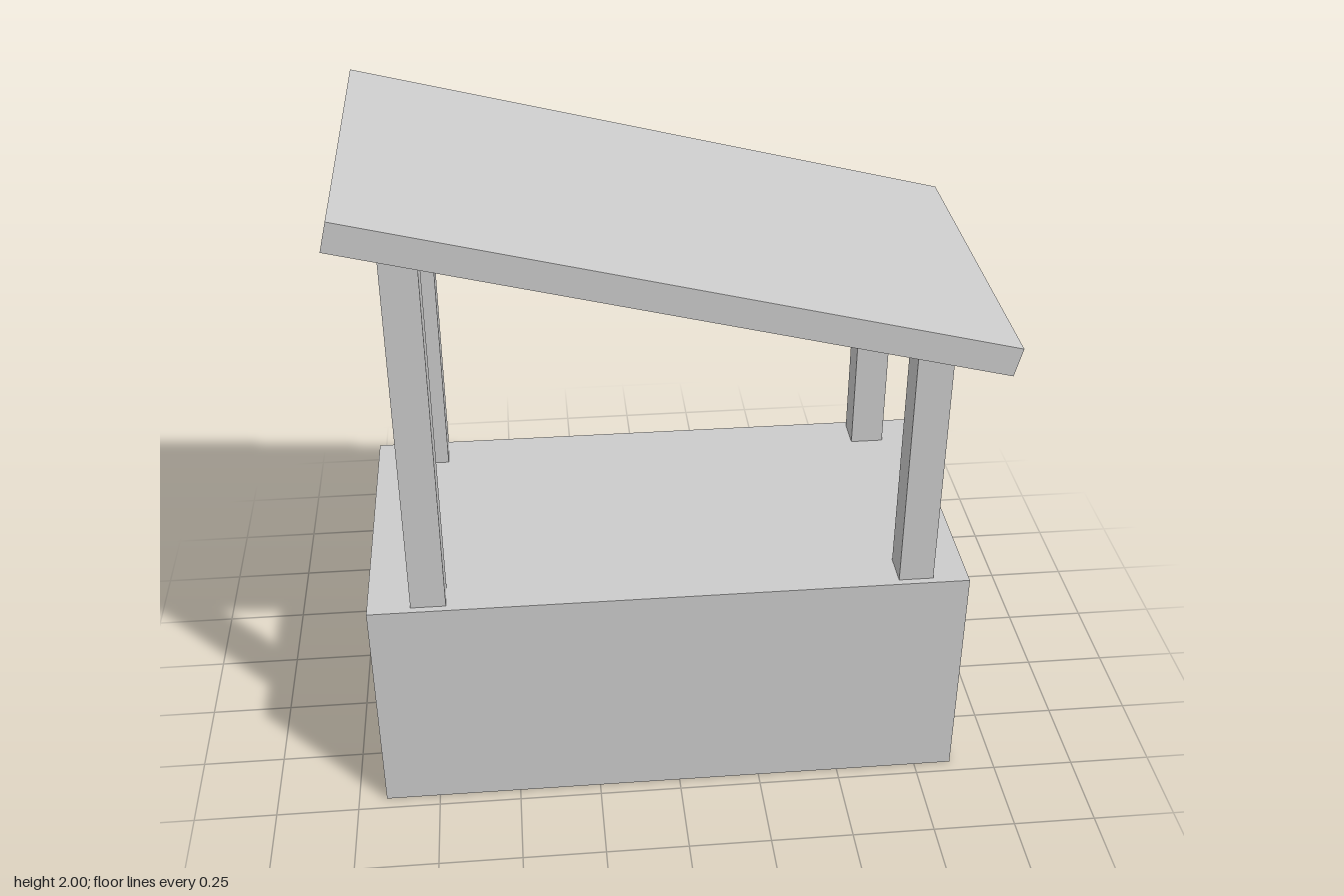
import * as THREE from 'three';

const grey = new THREE.MeshStandardMaterial({ color: 0xcccccc });
const greyBothSides = new THREE.MeshStandardMaterial({ color: 0xcccccc, side: THREE.DoubleSide });

export function createModel() {
  const group = new THREE.Group();

  const addPart = (name, geometry, x, y, z, material = grey) => {
    const mesh = new THREE.Mesh(geometry, material);
    mesh.name = name;
    mesh.position.set(x, y, z);
    group.add(mesh);
    return mesh;
  };

  // Counter: thin-walled box, open underneath (the fourth face, -y, is dropped)
  const counterHeight = 0.72;
  const counter = new THREE.BoxGeometry(1.78, counterHeight, 0.92);
  const index = Array.from(counter.index.array);
  index.splice(18, 6);
  counter.setIndex(index);
  counter.clearGroups();
  addPart('counter', counter, -0.025, counterHeight / 2, 0, greyBothSides);

  // Sloping roof slab, high on the right and low on the left
  const slope = Math.atan2(0.455, 1.815);
  const roofY = 1.732;
  const roof = addPart('roof', new THREE.BoxGeometry(1.871, 0.086, 1.07), 0, roofY, 0);
  roof.rotation.z = -slope;

  // Four posts, running from just below the counter top into the roof slab
  const postBottom = counterHeight - 0.05;
  for (const [side, x] of [['Right', -0.737], ['Left', 0.707]]) {
    const postTop = roofY - x * Math.tan(slope);
    const height = postTop - postBottom;
    for (const [end, z] of [['front', 0.387], ['back', -0.387]]) {
      addPart(`${end}${side}Post`, new THREE.BoxGeometry(0.103, height, 0.103),
        x, postBottom + height / 2, z);
    }
  }

  return group;
}
